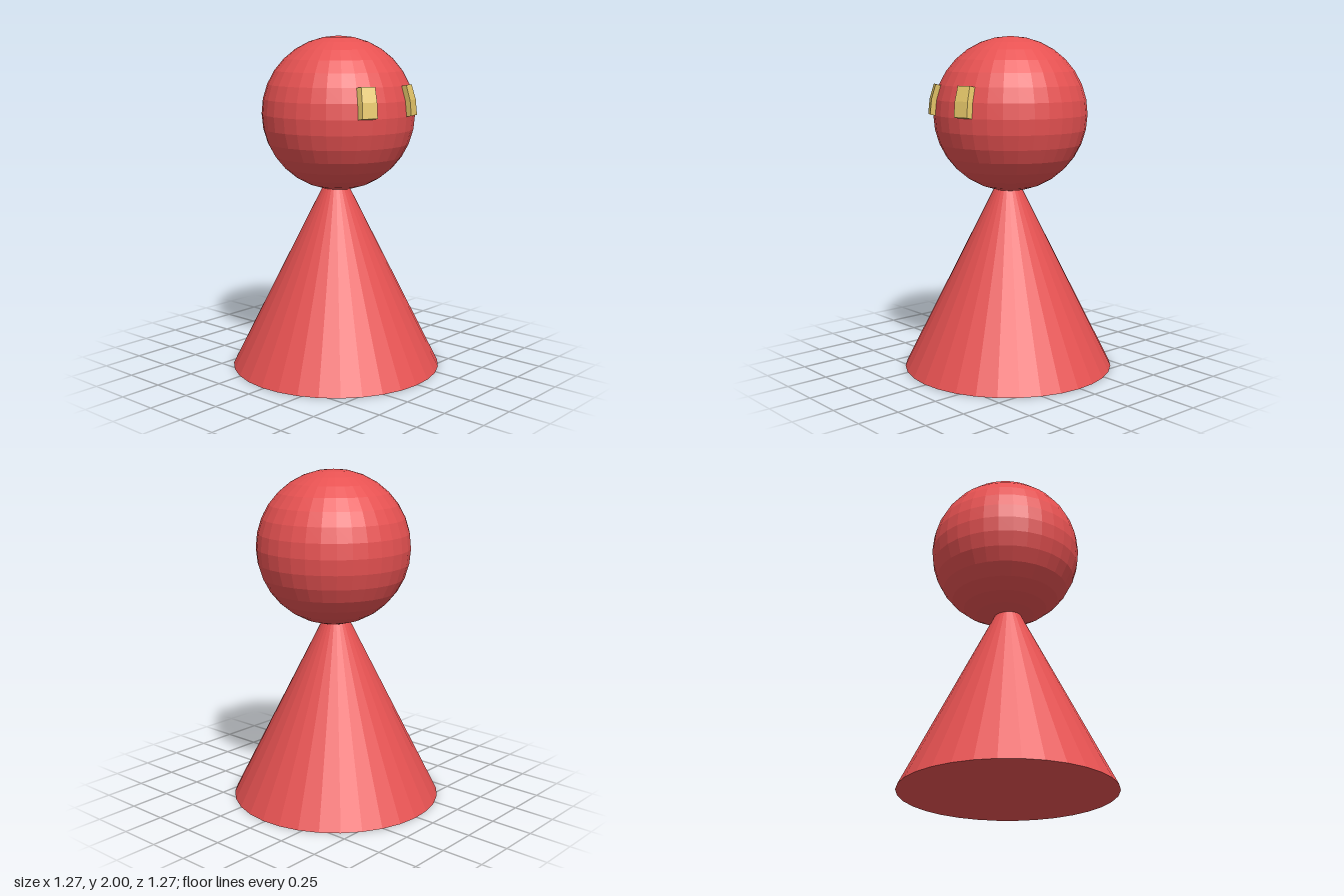
import * as THREE from 'three';

const SEGMENTS = 32;
const STEP = (Math.PI * 2) / SEGMENTS;
const TURN = 0.023; // slight twist of the facets about the vertical axis
const RADIUS = 0.458;
const HEAD = new THREE.Vector3(0, 1.543, -0.022);

const red = new THREE.MeshStandardMaterial({ color: 0xe75252, flatShading: true });
const yellow = new THREE.MeshStandardMaterial({ color: 0xe7c86a, flatShading: true });

// An eye is a raised patch of the head: one facet wide, two facets tall
function createEye(name, facet) {
  const geometry = new THREE.BoxGeometry(1, 1, 1, 1, 2, 1);
  const push = new THREE.Vector3(0.035, 0.007, 0.002);
  const position = geometry.attributes.position;
  const p = new THREE.Vector3();
  for (let i = 0; i < position.count; i++) {
    p.fromBufferAttribute(position, i);
    const azimuth = TURN + (facet + 0.5 + p.z) * STEP;
    const elevation = (p.y + 0.5) * 2 * STEP;
    const depth = p.x + 0.5;
    p.set(
      Math.cos(elevation) * Math.cos(azimuth),
      Math.sin(elevation),
      Math.cos(elevation) * Math.sin(azimuth)
    ).multiplyScalar(RADIUS).add(HEAD).addScaledVector(push, depth);
    position.setXYZ(i, p.x, p.y, p.z);
  }
  geometry.computeVertexNormals();
  const eye = new THREE.Mesh(geometry, yellow);
  eye.name = name;
  return eye;
}

export function createModel() {
  const model = new THREE.Group();
  model.name = 'figure';

  // Cone body, its tip hidden inside the head
  const body = new THREE.Mesh(new THREE.ConeGeometry(0.633, 1.262, SEGMENTS), red);
  body.name = 'body';
  body.position.y = 0.631;
  body.rotation.y = -TURN;

  // Faceted ball head, set slightly back
  const head = new THREE.Mesh(new THREE.SphereGeometry(RADIUS, SEGMENTS, SEGMENTS / 2), red);
  head.name = 'head';
  head.position.copy(HEAD);
  head.rotation.y = -TURN;

  // Two eyes on the +x side of the head
  model.add(body, head, createEye('frontEye', 2), createEye('backEye', -2));
  return model;
}
